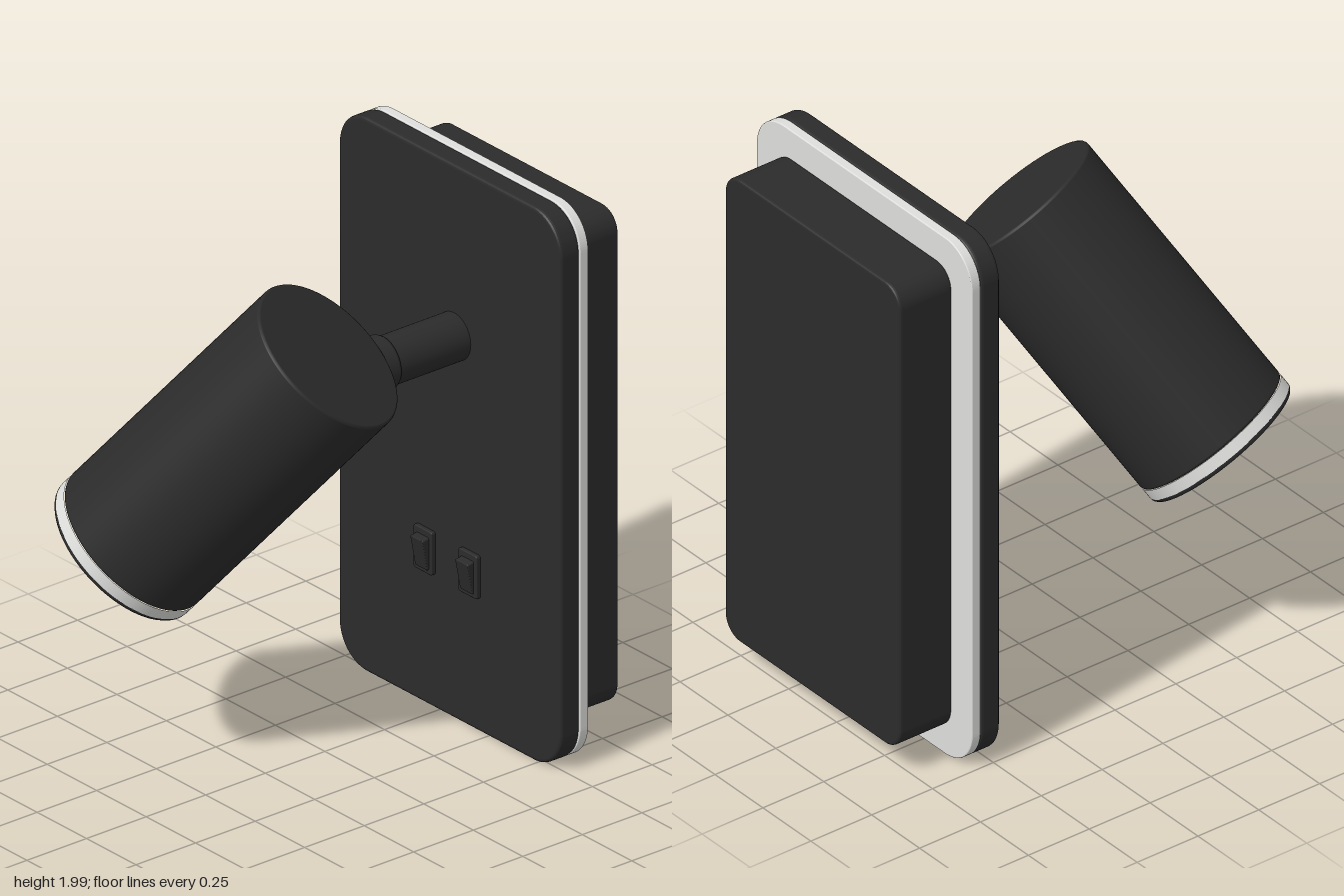
import * as THREE from 'three';

const black = new THREE.MeshStandardMaterial({ color: 0x2b2b2b });
black.name = 'matte black';
const white = new THREE.MeshStandardMaterial({ color: 0xdededc });
white.name = 'off white';
const grey = new THREE.MeshStandardMaterial({ color: 0x6a6a6a });
grey.name = 'lens grey';

function add(parent, name, geometry, material, x = 0, y = 0, z = 0) {
  const mesh = new THREE.Mesh(geometry, material);
  mesh.name = name;
  mesh.position.set(x, y, z);
  parent.add(mesh);
  return mesh;
}

// Upright slab with rounded corners and a small bevel, its back at z = 0
function slab(w, h, depth, r, bevel) {
  const a = w / 2 - bevel, b = h / 2 - bevel, c = r - bevel;
  const s = new THREE.Shape();
  s.moveTo(-a + c, -b);
  s.lineTo(a - c, -b);
  s.absarc(a - c, -b + c, c, -Math.PI / 2, 0);
  s.lineTo(a, b - c);
  s.absarc(a - c, b - c, c, 0, Math.PI / 2);
  s.lineTo(-a + c, b);
  s.absarc(-a + c, b - c, c, Math.PI / 2, Math.PI);
  s.lineTo(-a, -b + c);
  s.absarc(-a + c, -b + c, c, Math.PI, Math.PI * 1.5);
  const g = new THREE.ExtrudeGeometry(s, {
    depth: depth - 2 * bevel, bevelThickness: bevel, bevelSize: bevel,
    bevelSegments: 3, curveSegments: 12,
  });
  return g.translate(0, 0, bevel);
}

// Turned part from [radius, height] pairs, lower end first
const turned = (points) =>
  new THREE.LatheGeometry(points.map(([r, y]) => new THREE.Vector2(r, y)), 64);

// Rounded solid disc or rod standing from y0 to y1; rings near the rims keep the bevel crisp
function rod(r, y0, y1, b) {
  return turned([[0, y0], [r - b - 0.001, y0], [r - b, y0], [r - b * 0.3, y0 + b * 0.3], [r, y0 + b],
    [r, y0 + b + 0.001], [r, y1 - b - 0.001], [r, y1 - b], [r - b * 0.3, y1 - b * 0.3],
    [r - b, y1], [r - b - 0.001, y1], [0, y1]]);
}

export function createModel() {
  const model = new THREE.Group();
  model.name = 'wallSpotlight';

  // Wall mount: face plate, pale spacer and rear box
  const cx = 0.058;
  add(model, 'facePlate', slab(1.125, 1.99, 0.08, 0.14, 0.012), black, cx, 1.005, -0.555);
  add(model, 'spacerPlate', slab(1.125, 1.99, 0.036, 0.14, 0.004), white, cx, 1.005, -0.591);
  add(model, 'rearBox', slab(0.915, 1.78, 0.215, 0.08, 0.01), black, cx, 1.005, -0.805);

  // Arm reaching forward, with end collar, side screw and pivot
  const arm = new THREE.Group();
  arm.name = 'arm';
  arm.position.set(0.081, 1.385, 0);
  arm.rotation.x = Math.PI / 2;
  model.add(arm);
  add(arm, 'armRod', rod(0.084, -0.49, -0.12, 0.004), black);
  add(arm, 'armCollar', rod(0.095, -0.182, -0.098, 0.012), black);
  add(arm, 'pivot', rod(0.05, -0.12, 0.02, 0.005), black);
  const screw = add(arm, 'sideScrew', rod(0.028, 0, 0.03, 0.008), white, -0.08, -0.17, 0);
  screw.rotation.z = Math.PI / 2;

  // Pair of rocker switches
  for (const x of [-0.06, 0.167]) {
    const rocker = new THREE.Group();
    rocker.name = 'rockerSwitch';
    rocker.position.set(x, 0.568, -0.475);
    model.add(rocker);
    add(rocker, 'switchFrame', slab(0.094, 0.155, 0.018, 0.008, 0.004), black, 0, 0, -0.002);
    const key = add(rocker, 'switchKey', slab(0.064, 0.115, 0.035, 0.006, 0.003), black, 0, 0, -0.003);
    key.rotation.x = 0.19;
  }

  // Lamp head: local +y points from the mouth to the closed cap
  const mouth = new THREE.Vector3(-0.378, 0.76, 0.533);
  const cap = new THREE.Vector3(0.203, 1.557, 0.153);
  const length = mouth.distanceTo(cap);
  const head = new THREE.Group();
  head.name = 'lampHead';
  head.position.copy(mouth);
  head.quaternion.setFromUnitVectors(new THREE.Vector3(0, 1, 0), cap.clone().sub(mouth).normalize());
  model.add(head);
  const R = 0.29;
  add(head, 'headShell', rod(R, 0.055, length, 0.008), black);
  add(head, 'paleBand', turned([[R, 0.014], [R, 0.056]]), white);
  add(head, 'frontRim', turned([[0.243, 0], [0.244, 0], [R - 0.007, 0], [R - 0.006, 0],
    [R - 0.001, 0.006], [R, 0.014], [R, 0.015]]), black);
  add(head, 'mouthWall', turned([[0.243, 0.035], [0.243, 0]]), white);
  const lens = add(head, 'lens', new THREE.CircleGeometry(0.244, 64), grey, 0, 0.033, 0);
  lens.rotation.x = Math.PI / 2;

  return model;
}
